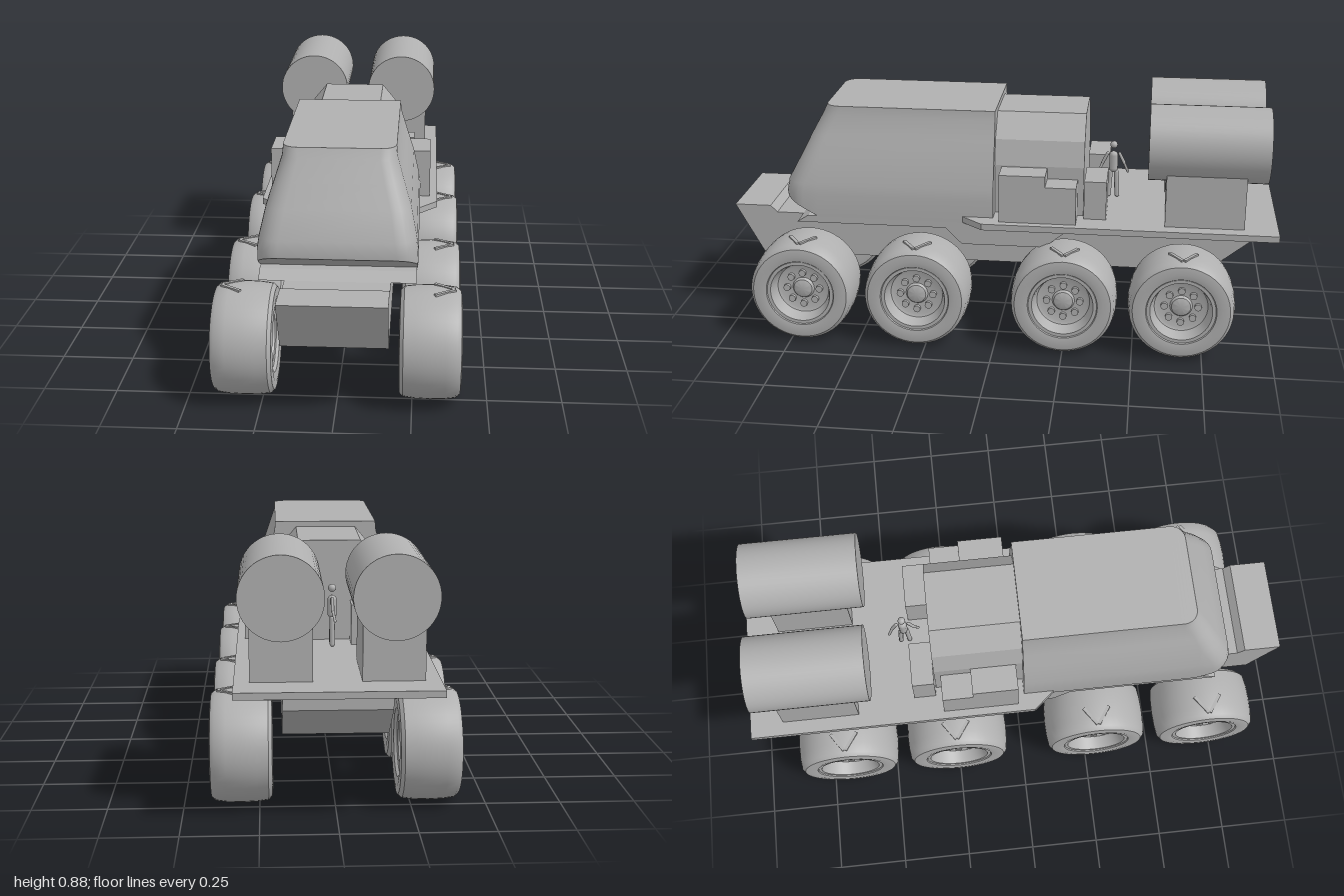
import * as THREE from 'three';
import { toCreasedNormals } from 'three/addons/utils/BufferGeometryUtils.js';

const grey = new THREE.MeshStandardMaterial({ color: 0xb0b0b0 });
grey.name = 'plain grey';

export function createModel() {
  const model = new THREE.Group();
  model.name = 'eightWheeledRover';

  function add(name, geometry, parent = model) {
    const mesh = new THREE.Mesh(geometry, grey);
    mesh.name = name;
    parent.add(mesh);
    return mesh;
  }

  // Box given by its limits on each axis
  function block(name, x0, x1, y0, y1, z0, z1) {
    const g = new THREE.BoxGeometry(x1 - x0, y1 - y0, z1 - z0);
    add(name, g.translate((x0 + x1) / 2, (y0 + y1) / 2, (z0 + z1) / 2));
  }

  const shapeOf = (pts) => new THREE.Shape(pts.map(([a, b]) => new THREE.Vector2(a, b)));

  // Side profile of [z, y] points, extruded to a half width in x
  function sideProfile(name, halfWidth, pts) {
    const g = new THREE.ExtrudeGeometry(shapeOf(pts), { depth: halfWidth * 2, bevelEnabled: false });
    add(name, g.translate(0, 0, -halfWidth).rotateY(-Math.PI / 2));
  }

  // Hull with wedge nose and raked tail
  sideProfile('hull', 0.175, [[0.9, 0.26], [1, 0.445], [0.865, 0.445], [0.84, 0.42],
    [-0.915, 0.42], [-0.915, 0.385], [-0.76, 0.26]]);
  sideProfile('chassisPlate', 0.26, [[0.74, 0.42], [0.7, 0.446], [-0.915, 0.446], [-0.915, 0.42]]);
  sideProfile('sideStep', 0.26, [[0.21, 0.44], [0.13, 0.36], [-0.17, 0.36], [-0.27, 0.44]]);

  // Rear deck with tapered front corners
  const deck = shapeOf([[-0.328, 1], [-0.328, -0.05], [-0.26, -0.13], [0.26, -0.13], [0.328, -0.05], [0.328, 1]]);
  add('deck', new THREE.ExtrudeGeometry(deck, { depth: 0.023, bevelEnabled: false })
    .rotateX(-Math.PI / 2).translate(0, 0.445, 0));

  add('cab', cabGeometry());

  // Faceted module behind the cab
  const moduleHalf = [[0.205, 0.468], [0.205, 0.65], [0.18, 0.74], [0.11, 0.825]];
  const moduleShape = shapeOf([...moduleHalf, ...moduleHalf.map(([x, y]) => [-x, y]).reverse()]);
  add('rearModule', new THREE.ExtrudeGeometry(moduleShape, { depth: 0.325, bevelEnabled: false })
    .translate(0, 0, -0.307));

  // Lockers, tank stands and tanks on both sides
  for (const s of [-1, 1]) {
    const pair = (name, a, b, ...rest) => block(name, Math.min(s * a, s * b), Math.max(s * a, s * b), ...rest);
    pair('tallLocker', 0.2, 0.3, 0.468, 0.645, -0.175, -0.01);
    pair('lowLocker', 0.2, 0.3, 0.468, 0.605, -0.285, -0.175);
    pair('rearLocker', 0.073, 0.236, 0.468, 0.61, -0.39, -0.31);
    pair('tankStand', 0.078, 0.278, 0.468, 0.66, -0.88, -0.6);
    add('tank', new THREE.CylinderGeometry(0.135, 0.135, 0.42, 48)
      .rotateX(Math.PI / 2).translate(s * 0.178, 0.75, -0.745));
  }

  for (const z of [0.705, 0.283, -0.25, -0.67]) {
    for (const s of [-1, 1]) {
      const wheel = makeWheel(add);
      wheel.position.set(s * 0.308, 0.198, z);
      if (s < 0) wheel.rotation.y = Math.PI;
      model.add(wheel);
    }
  }

  model.add(makeFigure(add));
  return model;
}

// Cab lofted from outlines with rounded front corners
function cabGeometry() {
  const levels = [ // y, half width, front z, corner radius
    [0.445, 0.263, 0.785, 0.07], [0.53, 0.264, 0.785, 0.07], [0.57, 0.258, 0.778, 0.07],
    [0.66, 0.238, 0.73, 0.065], [0.74, 0.212, 0.69, 0.06], [0.81, 0.19, 0.652, 0.055], [0.845, 0.187, 0.635, 0.05]];
  const steps = 6, back = 0.015, fold = 0.66;
  const pos = [], idx = [];
  levels.forEach(([y, w, front, r], level) => {
    const half = [[-w, back], [-w, Math.min(fold, front - r - 0.01)]];
    for (let i = 0; i <= steps; i++) {
      const a = (i / steps) * Math.PI / 2;
      half.push([-w + r - r * Math.cos(a), front - r + r * Math.sin(a)]);
    }
    const ring = [...half, ...half.map(([x, z]) => [-x, z]).reverse()];
    // The lowest outline follows the undercut below the nose
    for (const [x, z] of ring) pos.push(x, level ? y : y + Math.max(0, z - fold) * 0.56, z);
  });
  const n = 2 * (steps + 3), last = (levels.length - 1) * n;
  const quad = (a, b, c, d) => idx.push(a, b, c, a, c, d);
  for (let l = 0; l < last; l += n) {
    for (let i = 0; i < n - 1; i++) quad(l + i, l + i + 1, l + n + i + 1, l + n + i);
    quad(l + n - 1, l, l + n, l + 2 * n - 1);
  }
  for (let i = 0; i < n / 2 - 1; i++) {
    const m = n - 1 - i;
    quad(last + i, last + i + 1, last + m - 1, last + m);
    quad(m, m - 1, i + 1, i);
  }
  const g = new THREE.BufferGeometry();
  g.setAttribute('position', new THREE.Float32BufferAttribute(pos, 3));
  g.setIndex(idx);
  return toCreasedNormals(g, 0.5);
}

// Wheel around the x axis, outer side towards +x
function makeWheel(add) {
  const wheel = new THREE.Group();
  wheel.name = 'wheel';
  const lathe = (name, pts) => {
    const g = new THREE.LatheGeometry(pts.map(([r, a]) => new THREE.Vector2(r, a)), 48);
    add(name, toCreasedNormals(g, 0.6).rotateZ(-Math.PI / 2), wheel);
  };
  lathe('tyre', [[0.105, -0.085], [0.115, -0.098], [0.145, -0.103], [0.172, -0.1], [0.184, -0.088],
    [0.189, -0.05], [0.191, 0], [0.189, 0.05], [0.184, 0.086], [0.172, 0.1], [0.145, 0.104],
    [0.125, 0.1], [0.12, 0.085]]);
  lathe('rim', [[0, -0.06], [0.08, -0.06], [0.092, -0.085], [0.106, -0.088], [0.106, 0.086], [0.122, 0.09],
    [0.122, 0.096], [0.11, 0.096], [0.104, 0.08], [0.095, 0.05], [0.085, 0.045], [0.04, 0.045],
    [0.034, 0.055], [0.022, 0.06], [0, 0.06]]);
  for (let i = 0; i < 8; i++) {
    const a = (i / 8) * Math.PI * 2;
    add('wheelBolt', new THREE.CylinderGeometry(0.013, 0.013, 0.014, 10).rotateZ(-Math.PI / 2)
      .translate(0.05, 0.06 * Math.cos(a), 0.06 * Math.sin(a)), wheel);
  }
  // Raised tread ribs at the top of the tyre
  for (const s of [-1, 1]) {
    add('treadRib', new THREE.BoxGeometry(0.08, 0.01, 0.012)
      .rotateY(s * 0.6).translate(0.045, 0.186, s * 0.025), wheel);
  }
  return wheel;
}

// Small standing crew figure looking sideways
function makeFigure(add) {
  const figure = new THREE.Group();
  figure.name = 'crewFigure';
  const limb = (name, r, a, b) => {
    const from = new THREE.Vector3(...a), to = new THREE.Vector3(...b);
    const mesh = add(name, new THREE.CapsuleGeometry(r, from.distanceTo(to), 4, 8), figure);
    mesh.position.copy(from).add(to).multiplyScalar(0.5);
    mesh.quaternion.setFromUnitVectors(new THREE.Vector3(0, 1, 0), to.sub(from).normalize());
  };
  for (const s of [-1, 1]) {
    limb('leg', 0.009, [0, 0.01, s * 0.016], [0, 0.1, s * 0.011]);
    limb('upperArm', 0.006, [0, 0.172, s * 0.022], [0, 0.135, s * 0.04]);
    limb('forearm', 0.005, [0, 0.135, s * 0.04], [s * 0.008, 0.1, s * 0.054]);
  }
  limb('torso', 0.016, [0, 0.115, 0], [0, 0.165, 0]);
  add('head', new THREE.SphereGeometry(0.014, 12, 8).translate(0, 0.206, 0), figure);
  figure.position.set(-0.005, 0.468, -0.405);
  return figure;
}
